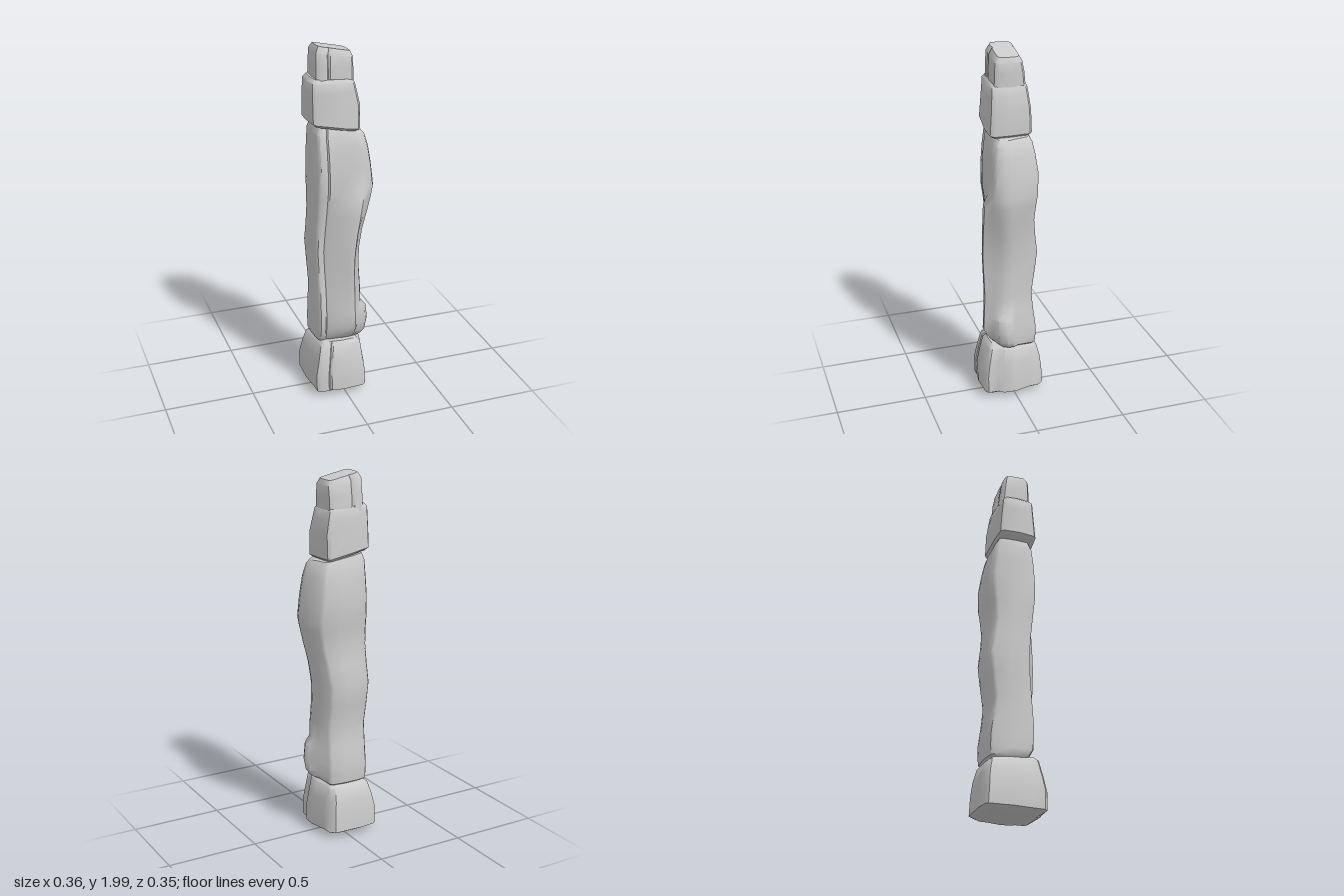
import * as THREE from 'three';
import { toCreasedNormals } from 'three/addons/utils/BufferGeometryUtils.js';

const material = new THREE.MeshStandardMaterial({ color: 0xcccccc });

// Lofts a unit outline through rows of [y, x0, x1, z0, z1, tiltX, tiltZ, ridge, knob].
// Outline points are [u, v, ridge weight, knob weight], running from +x towards +z.
function stone(name, outline, rows, lowTip = 0, highTip = 0) {
  const n = outline.length, pos = [], index = [];
  for (const [y, x0, x1, z0, z1, tx = 0, tz = 0, ridge = 0, knob = 0] of rows) {
    for (const [u, v, rw = 0, kw = 0] of outline) {
      const x = (x0 + x1) / 2 + u * (x1 - x0) / 2 + kw * knob;
      const z = (z0 + z1) / 2 + v * (z1 - z0) / 2 + rw * ridge;
      pos.push(x, y + tx * x + tz * z, z);
    }
  }
  for (let r = 0; r < rows.length - 1; r++) {
    for (let i = 0; i < n; i++) {
      const a = r * n + i, b = r * n + (i + 1) % n;
      index.push(a, a + n, b, b, a + n, b + n);
    }
  }
  // End caps fan out from a centre point
  const ends = [[rows[0], lowTip], [rows[rows.length - 1], highTip]];
  ends.forEach(([[y, x0, x1, z0, z1, tx = 0, tz = 0], tip], e) => {
    const x = (x0 + x1) / 2, z = (z0 + z1) / 2, c = pos.length / 3;
    pos.push(x, y + tx * x + tz * z + tip, z);
    const start = e ? (rows.length - 1) * n : 0;
    for (let i = 0; i < n; i++) {
      const a = start + i, b = start + (i + 1) % n;
      if (e) index.push(c, b, a); else index.push(c, a, b);
    }
  });
  const geometry = new THREE.BufferGeometry();
  geometry.setAttribute('position', new THREE.Float32BufferAttribute(pos, 3));
  geometry.setIndex(index);
  const mesh = new THREE.Mesh(toCreasedNormals(geometry, 0.75), material);
  mesh.name = name;
  return mesh;
}

export function createModel() {
  const group = new THREE.Group();
  group.name = 'stonePillar';

  // Flared foot with a slightly pointed underside and a cracked front
  group.add(stone('baseStone', [
    [1, 0], [0.98, 0.4], [0.84, 0.55], [0.83, 0.88], [0.72, 0.96], [0, 1],
    [-0.4, 0.95], [-0.46, 0.88], [-0.52, 0.95], [-0.78, 0.94], [-0.92, 0.84],
    [-0.93, 0.5], [-1, -0.1], [-0.97, -0.88], [-0.85, -0.95], [-0.4, -1],
    [0.65, -0.97], [0.83, -0.8], [0.85, -0.5],
  ], [
    [0.025, -0.14, 0.11, -0.14, 0.145],
    [0.045, -0.18, 0.142, -0.175, 0.178],
    [0.14, -0.183, 0.14, -0.17, 0.178],
    [0.22, -0.165, 0.127, -0.16, 0.165],
    [0.30, -0.145, 0.115, -0.14, 0.145, 0, 0.08],
    [0.318, -0.125, 0.095, -0.12, 0.125, 0, 0.1],
  ], -0.014, 0.005));

  // Long worn shaft: front ridge, low knob on its left, crack near the other edge
  group.add(stone('shaft', [
    [0.93, 0], [1, 0.3, 0, 0.8], [1, 0.58, 0, 1], [0.9, 0.88, 0, 0.8],
    [0.72, 0.98, 0.25], [0.5, 1, 1], [0.25, 1, 0.95], [-0.15, 0.99, 0.25],
    [-0.58, 0.98], [-0.63, 0.91], [-0.69, 0.96], [-0.88, 0.94], [-0.97, 0.82],
    [-1, 0], [-0.97, -0.8], [-0.88, -0.93], [-0.5, -1],
    [0.1, -1], [0.72, -0.93], [0.83, -0.8],
  ], [
    [0.305, -0.12, 0.09, -0.105, 0.075, 0, 0.1],
    [0.325, -0.14, 0.115, -0.132, 0.09, 0, 0.08, 0.01, 0.015],
    [0.36, -0.142, 0.12, -0.136, 0.105, 0, 0, 0.025, 0.03],
    [0.42, -0.142, 0.12, -0.136, 0.115, 0, 0, 0.05, 0.038],
    [0.50, -0.142, 0.118, -0.125, 0.115, 0, 0, 0.047, 0.03],
    [0.54, -0.142, 0.115, -0.12, 0.112, 0, 0, 0.047],
    [0.63, -0.142, 0.115, -0.11, 0.105, 0, 0, 0.051],
    [0.76, -0.147, 0.11, -0.13, 0.095, 0, 0, 0.065],
    [0.87, -0.152, 0.115, -0.142, 0.092, 0, 0, 0.073],
    [0.98, -0.148, 0.13, -0.125, 0.098, 0, 0, 0.068],
    [1.08, -0.147, 0.152, -0.112, 0.11, 0, 0, 0.056],
    [1.18, -0.147, 0.172, -0.118, 0.122, 0, 0, 0.043],
    [1.23, -0.147, 0.178, -0.125, 0.13, 0, 0, 0.01],
    [1.35, -0.145, 0.164, -0.131, 0.13],
    [1.45, -0.144, 0.148, -0.117, 0.122],
    [1.525, -0.142, 0.13, -0.104, 0.11, -0.1],
    [1.558, -0.13, 0.108, -0.088, 0.095, -0.16],
  ]));

  // Squared collar block with a sloping underside
  group.add(stone('collarBlock', [
    [1, 0], [0.99, 0.75], [0.88, 0.93], [0.3, 1], [-0.8, 0.88], [-0.92, 0.78],
    [-1, 0], [-0.97, -0.75], [-0.88, -0.9], [-0.3, -0.97], [0.85, -1], [0.97, -0.88],
  ], [
    [1.56, -0.155, 0.075, -0.085, 0.12, -0.19],
    [1.575, -0.174, 0.091, -0.1, 0.135, -0.18],
    [1.69, -0.174, 0.092, -0.094, 0.127],
    [1.76, -0.173, 0.077, -0.086, 0.12],
    [1.81, -0.172, 0.066, -0.08, 0.115, -0.04],
    [1.826, -0.155, 0.052, -0.068, 0.1, -0.06],
  ]));

  // Narrow broken cap, split by a groove at front and back
  group.add(stone('capStone', [
    [1, 0], [0.97, 0.8], [0.85, 0.96], [0, 0.98], [-0.26, 0.95], [-0.34, 0.84],
    [-0.42, 0.96], [-0.75, 0.97], [-0.96, 0.8], [-1, 0], [-0.97, -0.8],
    [-0.8, -0.97], [-0.42, -0.97], [-0.32, -0.86], [-0.22, -0.97],
    [0.75, -0.95], [0.95, -0.78],
  ], [
    [1.80, -0.142, 0.064, -0.08, 0.1],
    [1.88, -0.142, 0.064, -0.072, 0.097],
    [1.945, -0.141, 0.063, -0.06, 0.094, -0.17],
    [1.972, -0.125, 0.05, -0.045, 0.077, -0.21, 0.04],
  ], 0, 0.002));

  return group;
}
